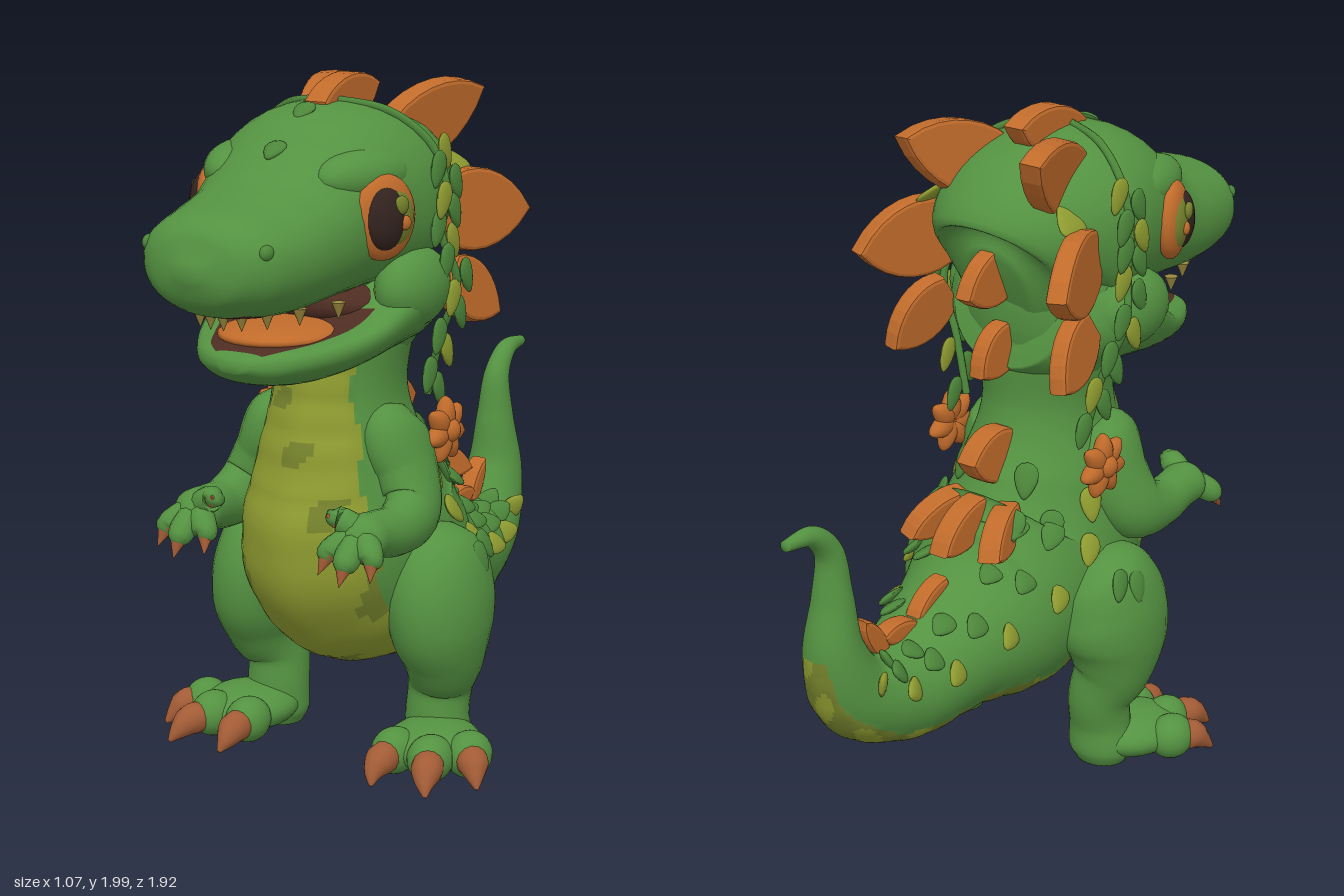
import * as THREE from 'three';

const V = (x, y, z) => new THREE.Vector3(x, y, z);
const mat = (name, color) => Object.assign(new THREE.MeshStandardMaterial({ color }), { name });

export function createModel() {
  const root = new THREE.Group();
  root.name = 'dinosaur';
  const M = {
    green: mat('skin green', 0x549241), leaf: mat('leaf green', 0x4c863a),
    lime: mat('belly lime', 0x8e9b30), olive: mat('tail olive', 0x75822c),
    orange: mat('plate orange', 0xc06b2b), claw: mat('claw brown', 0xa35c36),
    dark: mat('eye dark', 0x33231f), mouth: mat('mouth brown', 0x4e2c22), tooth: mat('tooth', 0x9c8a3e),
  };
  const add = (name, geo, material) => {
    const m = new THREE.Mesh(geo, material);
    m.name = name;
    root.add(m);
    return m;
  };

  // Smooth skin through elliptical stations [x, y, z, halfWidth, halfDepth]
  function loft(name, st, mats, { seg = 40, rad = 28, p = 2, bump = () => 1, pick = () => 0, lift = 0 } = {}) {
    const path = new THREE.CatmullRomCurve3(st.map(s => V(s[0], s[1], s[2])));
    const size = new THREE.CatmullRomCurve3(st.map(s => V(s[3], s[4], 0)), false, 'catmullrom', 0.5);
    const sp = v => Math.sign(v) * Math.abs(v) ** (2 / p);
    const at = (t, ang) => {
      const c = path.getPoint(t), T = path.getTangent(t), r = size.getPoint(t);
      const S = V(1, 0, 0).addScaledVector(T, -T.x).normalize();
      const N = T.clone().cross(S), k = bump(t, ang);
      c.addScaledVector(S, r.x * k * sp(Math.sin(ang))).addScaledVector(N, r.y * k * sp(Math.cos(ang)));
      c.y += lift * c.x * c.x;
      return c;
    };
    const pos = [], lists = mats.map(() => []);
    const angle = j => ((j / rad) * 2 - 1) * Math.PI;
    for (let i = 0; i <= seg; i++) for (let j = 0; j < rad; j++) pos.push(...at(i / seg, angle(j)).toArray());
    const c0 = pos.length / 3;
    pos.push(...path.getPoint(0).toArray(), ...path.getPoint(1).toArray());
    for (let j = 0; j < rad; j++) {
      const k = (j + 1) % rad, e = seg * rad;
      for (let i = 0; i < seg; i++) {
        const a = i * rad + j, d = i * rad + k, b = a + rad, c = d + rad;
        lists[pick((i + 0.5) / seg, angle(j + 0.5))].push(a, b, c, a, c, d);
      }
      lists[0].push(c0, j, k, c0 + 1, e + k, e + j);
    }
    const g = new THREE.BufferGeometry();
    g.setAttribute('position', new THREE.Float32BufferAttribute(pos, 3));
    g.setIndex(lists.flat());
    let start = 0;
    lists.forEach((l, i) => { g.addGroup(start, l.length, i); start += l.length; });
    g.computeVertexNormals();
    add(name, g, mats);
    return { at, path };
  }

  const ball = (name, m, p, s, ry = 0) => {
    const b = add(name, new THREE.SphereGeometry(1, 24, 16), m);
    b.position.set(...p); b.scale.set(...s); b.rotation.y = ry;
    return b;
  };
  // Align local x with d and local z with n
  const place = (mesh, p, d, n) => {
    const x = d.clone().normalize(), z = n.clone().addScaledVector(x, -n.dot(x)).normalize();
    mesh.quaternion.setFromRotationMatrix(new THREE.Matrix4().makeBasis(x, z.clone().cross(x), z));
    mesh.position.copy(p);
    return mesh;
  };
  // Leaf: a flat drop narrowing towards +x
  const leafGeo = new THREE.SphereGeometry(1, 16, 8);
  const lp = leafGeo.attributes.position;
  for (let i = 0; i < lp.count; i++) lp.setY(i, lp.getY(i) * (1 - 0.4 * lp.getX(i)));
  leafGeo.computeVertexNormals();
  const leaf = (m, p, d, n, len = 0.05, wid = 0.032) =>
    place(add('leaf', leafGeo, m), p, d, n).scale.set(len, wid, 0.013);
  const plate = (name, a, b, w, th = 0.035) => {
    const A = V(...a), d = V(...b).sub(A), L = d.length(), s = new THREE.Shape();
    s.moveTo(0, -0.3 * w);
    s.bezierCurveTo(0.3 * L, -0.62 * w, 0.75 * L, -0.5 * w, L, 0);
    s.bezierCurveTo(0.75 * L, 0.5 * w, 0.3 * L, 0.62 * w, 0, 0.3 * w);
    const g = new THREE.ExtrudeGeometry(s, { depth: th, bevelSize: 0.012, bevelThickness: 0.012, bevelSegments: 2, curveSegments: 8 });
    place(add(name, g.translate(0, 0, -th / 2), M.orange), A, d, V(1, 0, 0));
  };
  const spike = (name, m, a, b, r) => {
    const A = V(...a), d = V(...b).sub(A), g = new THREE.ConeGeometry(r, d.length(), 12);
    const c = add(name, g.translate(0, d.length() / 2, 0), m);
    c.position.copy(A);
    c.quaternion.setFromUnitVectors(V(0, 1, 0), d.normalize());
  };

  // Neck, torso and tail with a ridged, mottled belly
  const onBelly = (t, a) => t > 0.06 && t < 0.7 &&
    Math.abs(a) < 0.62 + Math.min(0.33, t) + 0.05 * Math.sin(t * 75) - Math.max(0, t - 0.6) * 5;
  const mottled = (t, a) => Math.sin(t * 64 + 1) * Math.cos(a * 4 + t * 30);
  const body = loft('bodyAndTail', [
    [0, 1.5, 0.18, 0.27, 0.2], [0, 1.29, 0.19, 0.215, 0.205], [0, 1.1, 0.2, 0.19, 0.21], [0, 0.9, 0.19, 0.24, 0.28],
    [0, 0.67, 0.14, 0.29, 0.375], [0, 0.52, -0.07, 0.28, 0.3], [0, 0.46, -0.3, 0.21, 0.2], [0, 0.42, -0.52, 0.16, 0.16],
    [0, 0.48, -0.7, 0.12, 0.125], [0, 0.63, -0.775, 0.09, 0.09], [0, 0.8, -0.775, 0.06, 0.06],
    [0, 0.94, -0.785, 0.04, 0.042], [0, 1.01, -0.85, 0.03, 0.03], [0, 1.02, -0.955, 0.016, 0.016]],
  [M.green, M.lime, M.olive], {
    seg: 180, rad: 72,
    bump: (t, a) => onBelly(t, a) ? 1.005 + 0.02 * Math.abs(Math.sin(Math.PI * t * 32)) + 0.008 * Math.cos(a * 9) : 1,
    pick: (t, a) => !onBelly(t, a) ? 0 : mottled(t, a) > (t < 0.34 ? 0.72 : -0.45) ? 2 : 1,
  });

  // Head, back of the skull and lower jaw
  const head = loft('head', [
    [0, 1.5, -0.045, 0.1, 0.12], [0, 1.52, 0, 0.2, 0.23], [0, 1.6, 0.08, 0.285, 0.275], [0, 1.65, 0.2, 0.32, 0.27],
    [0, 1.65, 0.33, 0.305, 0.265], [0, 1.615, 0.45, 0.28, 0.228], [0, 1.575, 0.58, 0.258, 0.188],
    [0, 1.555, 0.72, 0.245, 0.165], [0, 1.55, 0.86, 0.21, 0.138], [0, 1.545, 0.93, 0.14, 0.095], [0, 1.545, 0.965, 0.03, 0.02]],
  [M.green, M.mouth], { seg: 60, rad: 40, p: 2.2, pick: (t, a) => t > 0.42 && t < 0.8 && Math.abs(a) > 2.6 ? 1 : 0 });
  ball('skullBack', M.green, [0, 1.44, 0.17], [0.275, 0.31, 0.2]);
  loft('lowerJaw', [
    [0, 1.41, 0.02, 0.2, 0.16], [0, 1.38, 0.1, 0.28, 0.18], [0, 1.345, 0.2, 0.34, 0.16], [0, 1.3, 0.31, 0.33, 0.115],
    [0, 1.255, 0.44, 0.29, 0.078], [0, 1.245, 0.58, 0.23, 0.066], [0, 1.255, 0.7, 0.15, 0.05], [0, 1.265, 0.765, 0.04, 0.02]],
  [M.green, M.mouth], { p: 2.3, rad: 40, lift: 0.75, pick: (t, a) => t > 0.5 && t < 0.92 && Math.abs(a) < 0.8 ? 1 : 0 });
  ball('mouthInterior', M.mouth, [0, 1.375, 0.31], [0.24, 0.075, 0.15]);
  ball('tongue', M.orange, [0, 1.315, 0.52], [0.17, 0.038, 0.18]);
  for (const s of [-1, 1]) {
    ball('cheek', M.green, [s * 0.262, 1.42, 0.245], [0.09, 0.115, 0.15]);
    for (let i = 0; i < 5; i++) {
      const x = s * (0.02 + i * 0.045), z = 0.83 - i * i * 0.018;
      spike('upperTooth', M.tooth, [x, 1.42, z], [x, 1.372, z], 0.02);
    }
    ball('nostril', M.leaf, [s * 0.182, 1.6, 0.87], [0.018, 0.022, 0.025]);

    // Eye, layered outward from the orange socket, under a soft brow
    const eye = new THREE.Group();
    eye.name = 'eye';
    [['eyeSocket', M.orange, 0, 0, 0, 0.045, 0.118, 0.104], ['iris', M.olive, 0.008, 0, -0.012, 0.045, 0.09, 0.078],
      ['pupil', M.dark, 0.015, 0, 0.012, 0.048, 0.09, 0.068], ['eyeGlint', M.olive, 0.052, 0.037, -0.02, 0.012, 0.026, 0.024],
      ['eyeGlint', M.orange, 0.05, -0.012, -0.036, 0.011, 0.02, 0.018]]
      .forEach(([n, m, x, y, z, ...sc]) => eye.add(ball(n, m, [x * s, y, z], sc)));
    eye.position.set(s * 0.275, 1.64, 0.43);
    eye.rotation.y = -s * 0.38;
    root.add(eye);
    ball('brow', M.green, [s * 0.2, 1.745, 0.41], [0.085, 0.075, 0.17], s * -0.25);

    // Arm, fingers and claws
    loft('arm', [
      [s * 0.16, 1.05, 0.21, 0.05, 0.07], [s * 0.19, 0.99, 0.23, 0.085, 0.12], [s * 0.235, 0.88, 0.23, 0.085, 0.115],
      [s * 0.275, 0.785, 0.27, 0.08, 0.1], [s * 0.285, 0.755, 0.38, 0.068, 0.075], [s * 0.275, 0.765, 0.48, 0.068, 0.066],
      [s * 0.27, 0.77, 0.55, 0.07, 0.062], [s * 0.27, 0.765, 0.595, 0.03, 0.025]], [M.green], { rad: 20 });
    [[0.2, 0.73, 0.605], [0.27, 0.715, 0.635], [0.335, 0.73, 0.6], [0.2, 0.82, 0.56]].forEach(([x, y, z], i) => {
      loft('finger', [[s * 0.27, 0.77, 0.53, 0.038, 0.038], [s * (x + 0.27) / 2, (y + 0.79) / 2, (z + 0.54) / 2, 0.04, 0.04],
        [s * x, y, z, 0.034, 0.034], [s * x, y - 0.015, z + 0.015, 0.014, 0.014]], [M.green], { seg: 10, rad: 12 });
      spike('fingerClaw', M.claw, [s * x, y, z], [s * (x + (x - 0.27) * 0.2), y - (i < 3 ? 0.055 : -0.015), z + 0.03], 0.026);
    });

    // Leg, foot, toes and claws
    loft('leg', [
      [s * 0.25, 0.69, 0.08, 0.05, 0.06], [s * 0.27, 0.63, 0.1, 0.13, 0.15], [s * 0.29, 0.52, 0.13, 0.15, 0.195],
      [s * 0.305, 0.41, 0.14, 0.14, 0.185], [s * 0.305, 0.31, 0.125, 0.115, 0.135], [s * 0.28, 0.22, 0.1, 0.095, 0.1],
      [s * 0.275, 0.13, 0.11, 0.095, 0.09], [s * 0.28, 0.05, 0.11, 0.1, 0.09], [s * 0.28, 0.008, 0.11, 0.08, 0.07]], [M.green]);
    ball('foot', M.green, [s * 0.32, 0.075, 0.21], [0.14, 0.07, 0.16], s * 0.4);
    [[0.25, 0.32, 0.25, 0.45], [0.37, 0.325, 0.42, 0.45], [0.45, 0.24, 0.515, 0.325]].forEach(([x, z, cx, cz]) => {
      ball('toe', M.green, [s * x, 0.075, z], [0.066, 0.068, 0.075]);
      // Thick blunt claw curving to the ground
      loft('toeClaw', [
        [s * (x + (cx - x) * 0.3), 0.075, z + (cz - z) * 0.3, 0.045, 0.045], [s * (x + (cx - x) * 0.65), 0.07, z + (cz - z) * 0.65, 0.045, 0.046],
        [s * (x + (cx - x) * 0.92), 0.05, z + (cz - z) * 0.92, 0.03, 0.03], [s * cx * 1.03, 0.02, cz + 0.02, 0.006, 0.006]], [M.claw], { seg: 12, rad: 14 });
    });

    // Paired head and back plates
    plate('upperHeadPlate', [s * 0.12, 1.78, 0.16], [s * 0.225, 1.93, -0.18], 0.2, 0.045);
    plate('middleHeadPlate', [s * 0.245, 1.61, 0.07], [s * 0.355, 1.585, -0.23], 0.225, 0.04);
    plate('lowerHeadPlate', [s * 0.26, 1.42, 0.03], [s * 0.305, 1.29, -0.15], 0.16);
    plate('sideBackPlate', [s * 0.09, 0.84, -0.1], [s * 0.15, 0.77, -0.27], 0.09, 0.05);

    // Vine over the head with hanging leaves
    const vine = [0, 0.5, 1, 1.45, 1.8].map((a, i) => head.at(0.35 - i * 0.025, s * a).add(V(s * 0.006, 0.004, 0)));
    vine.push(V(s * 0.335, 1.42, 0.12), V(s * 0.27, 1.25, 0.1), V(s * 0.225, 1.08, 0.09));
    const line = new THREE.CatmullRomCurve3(vine);
    add('vine', new THREE.TubeGeometry(line, 50, 0.012, 7), M.leaf);
    for (let i = 0; i < 15; i++) {
      const q = line.getPoint(0.3 + i * 0.049), side = i % 2 ? 1 : -1;
      leaf(i % 3 ? M.leaf : M.lime, q.add(V(s * 0.012, -0.01, side * 0.04)), V(0, -1, side * 0.4), V(s, 0.2, 0), 0.055, 0.032);
    }
    leaf(M.lime, head.at(0.2, s * 0.95), V(s * 0.4, -0.3, -1), V(s, 1, 0), 0.08, 0.05);

    // Shoulder flower
    for (let i = 0; i < 7; i++) {
      const a = i / 7 * Math.PI * 2, d = V(0, Math.cos(a), Math.sin(a));
      place(add('petal', leafGeo, M.orange), V(s * 0.285, 0.98, 0.09).addScaledVector(d, 0.048), d, V(s, 0, 0)).scale.set(0.052, 0.034, 0.028);
    }
    ball('flowerCentre', M.orange, [s * 0.3, 0.98, 0.09], [0.03, 0.035, 0.035]);

    // Leaves along the flanks, lifted off the body surface
    for (let i = 0; i < 20; i++) {
      const t = 0.23 + i * 0.0215, a = s * (Math.PI - [0.5, 1.25, 0.85][i % 3]);
      const p = body.at(t, a), n = p.clone().sub(body.path.getPoint(t)).normalize();
      const d = body.path.getTangent(t).addScaledVector(V(0, -1, 0), 0.35).addScaledVector(n, 0.4);
      leaf(i % 3 === 1 ? M.lime : M.leaf, p.addScaledVector(n, 0.008), d, n, 0.055 - i * 0.0008, 0.034);
    }
    leaf(M.leaf, V(s * 0.41, 0.62, 0.1), V(s * 0.3, -1, -0.2), V(s, 0.3, 0));
    leaf(M.leaf, V(s * 0.39, 0.64, 0.04), V(s * 0.3, -1, -0.6), V(s, 0.3, 0));
  }

  // Centre row of plates from crown to tail
  [['crownPlate', [0, 1.88, 0.31], [0, 1.95, 0.04], 0.14, 0.05], ['napePlate', [0, 1.56, 0.01], [0, 1.51, -0.19], 0.15],
    ['neckPlate', [0, 1.35, 0.01], [0, 1.26, -0.13], 0.13], ['shoulderPlate', [0, 0.99, 0.01], [0, 1.0, -0.18], 0.15, 0.05],
    ['backPlate', [0, 0.85, -0.13], [0, 0.765, -0.31], 0.1, 0.05], ['tailPlate', [0, 0.665, -0.31], [0, 0.605, -0.43], 0.055],
    ['tailPlate', [0, 0.585, -0.46], [0, 0.6, -0.58], 0.05], ['tailPlate', [0, 0.57, -0.59], [0, 0.675, -0.66], 0.04]]
    .forEach(a => plate(...a));

  // Small forehead scales
  for (const t of [0.52, 0.41]) leaf(M.leaf, head.at(t, 0), V(0, -0.6, 1), V(0, 1, 0.6), 0.04, 0.03);
  return root;
}
